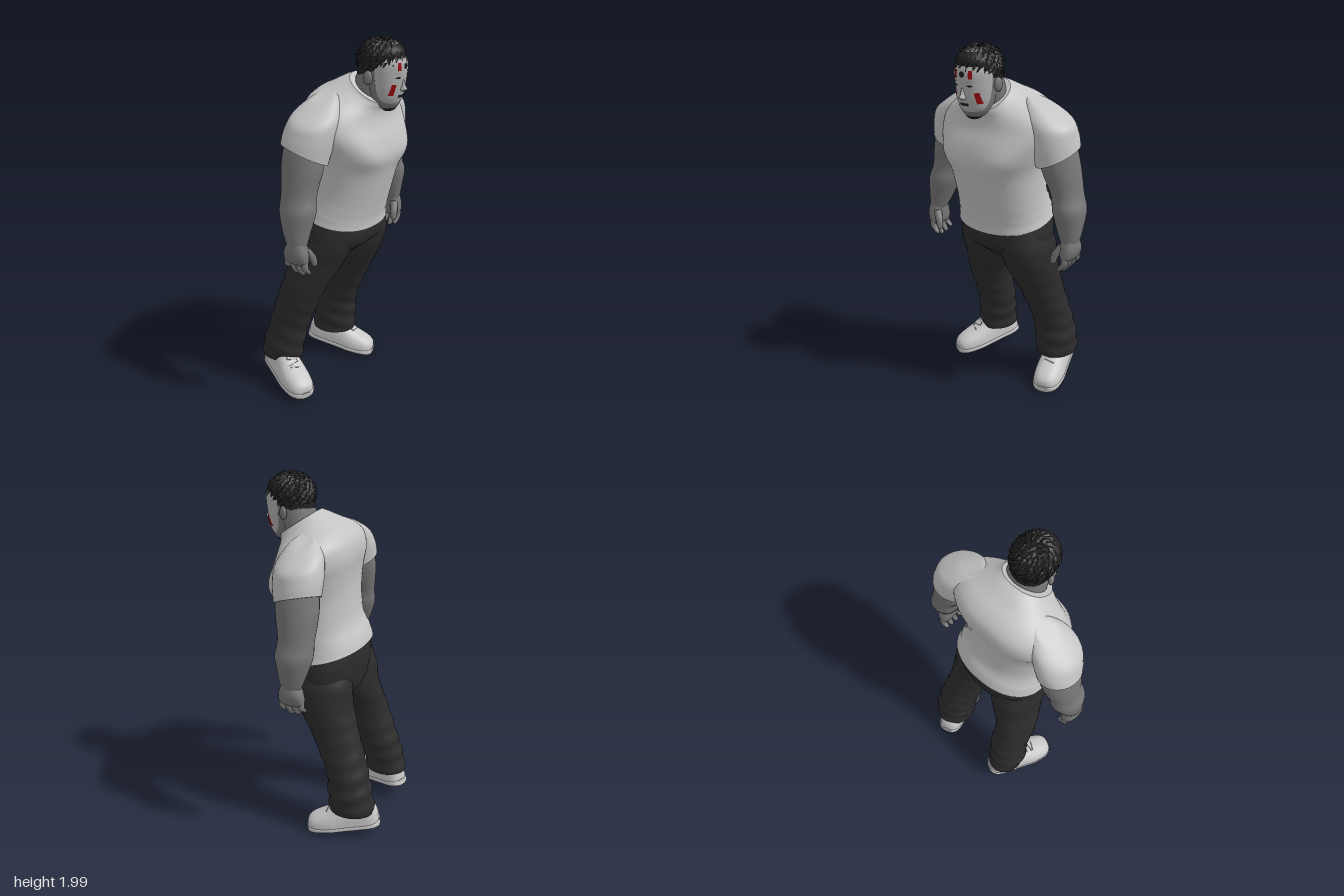
import * as THREE from 'three';
import { mergeGeometries } from 'three/addons/utils/BufferGeometryUtils.js';

const mat = (name, color) => Object.assign(new THREE.MeshStandardMaterial({ color }), { name });
const YAW = 0.2; // the body is turned slightly to its left

// Smooth surface through horizontal rings [y, x, z, halfWidth, front, back, tiltZ, tiltX]
function loft(secs, { yaw = 0, n = 32, steps = 5, power = 2, bump = () => 1 } = {}) {
  const s = secs.map(r => [...r, 0, 0].slice(0, 8));
  if (s[0][0] > s[s.length - 1][0]) s.reverse();
  const rings = [];
  for (let i = 0; i < s.length - 1; i++) {
    const p = [s[Math.max(i - 1, 0)], s[i], s[i + 1], s[Math.min(i + 2, s.length - 1)]];
    for (let k = 0; k < steps + (i === s.length - 2 ? 1 : 0); k++) {
      const t = k / steps;
      rings.push(p[1].map((b, c) => {
        const a = p[0][c], d = p[2][c], e = p[3][c];
        return b + 0.5 * t * (d - a + t * (2 * a - 5 * b + 4 * d - e + t * (3 * (b - d) + e - a)));
      }));
    }
  }
  const pos = [], idx = [], cy = Math.cos(yaw), sy = Math.sin(yaw);
  const ring = (r, scale) => {
    for (let j = 0; j < n; j++) {
      let a = j / n * Math.PI * 2;
      if (a > Math.PI) a -= Math.PI * 2;
      const sa = Math.sin(a), ca = Math.cos(a), f = bump(a, r[0]) * scale;
      const lx = Math.sign(sa) * Math.abs(sa) ** (2 / power) * r[3] * f;
      const lz = Math.sign(ca) * Math.abs(ca) ** (2 / power) * (ca > 0 ? r[4] : r[5]) * f;
      pos.push(r[1] + lx * cy + lz * sy, r[0] - r[6] * lz + r[7] * lx, r[2] - lx * sy + lz * cy);
    }
  };
  const strip = base => {
    for (let j = 0; j < n; j++) {
      const a = base + j, b = base + (j + 1) % n;
      idx.push(a, b, b + n, a, b + n, a + n);
    }
  };
  ring(rings[0], 0); ring(rings[0], 1); strip(0);
  rings.forEach((r, i) => { ring(r, 1); if (i) strip((i + 1) * n); });
  const top = rings.length + 2;
  ring(rings[rings.length - 1], 1); ring(rings[rings.length - 1], 0); strip(top * n);
  const g = new THREE.BufferGeometry();
  g.setAttribute('position', new THREE.Float32BufferAttribute(pos, 3));
  g.setIndex(idx);
  g.computeVertexNormals();
  return g;
}

export function createModel() {
  const shirt = mat('shirt grey', 0xc4c4c4), skin = mat('skin grey', 0x777777), cloth = mat('trouser black', 0x2c2c2c);
  const hairMat = mat('hair black', 0x222222), maskMat = mat('mask grey', 0xb0b0b0), red = mat('mark red', 0x960a0a);
  const shoeMat = mat('shoe grey', 0xc8c8c8), lace = mat('lace grey', 0x9c9c9c), dark = mat('hole black', 0x1a1a1a);
  const model = new THREE.Group();
  const add = (name, geo, m, parent = model) => {
    const mesh = new THREE.Mesh(geo, m);
    mesh.name = name;
    parent.add(mesh);
    return mesh;
  };
  const group = (name, parent = model) => {
    const g = new THREE.Group();
    g.name = name;
    parent.add(g);
    return g;
  };
  const bell = (v, w) => Math.exp(-((v / w) ** 2));

  // T-shirt body with chest muscles, a spine groove and a collar that rises at the back
  add('shirtBody', loft([
    [1.045, 0, 0.02, 0.278, 0.21, 0.207, 0.27], [1.1, 0, 0.03, 0.266, 0.205, 0.2, 0.27],
    [1.2, 0.01, 0.06, 0.255, 0.2, 0.19, 0.25], [1.35, 0.015, 0.085, 0.265, 0.215, 0.205, 0.25],
    [1.45, 0.02, 0.095, 0.295, 0.23, 0.22, 0.25], [1.54, 0.02, 0.09, 0.325, 0.22, 0.225, 0.26],
    [1.615, 0.025, 0.09, 0.32, 0.19, 0.21, 0.3], [1.665, 0.03, 0.105, 0.275, 0.165, 0.175, 0.38],
    [1.7, 0.035, 0.132, 0.205, 0.14, 0.137, 0.47], [1.725, 0.04, 0.165, 0.15, 0.118, 0.113, 0.6], [1.735, 0.045, 0.188, 0.13, 0.1, 0.1, 0.7],
  ], { yaw: YAW, n: 56, power: 2.2, bump: (a, y) => 1
    + 0.07 * bell(y - 1.47, 0.08) * bell(Math.abs(a) - 0.5, 0.32)
    - 0.05 * bell(Math.PI - Math.abs(a), 0.18) * bell(y - 1.4, 0.2)
    + 0.006 * bell(y - 1.13, 0.05) * Math.sin(y * 130 + a * 2) }), shirt);

  // Trousers: a seat that melts into two legs
  add('trouserSeat', loft([
    [1.065, 0, 0.02, 0.262, 0.195, 0.187, 0.27], [0.98, 0, 0.015, 0.277, 0.195, 0.19, 0.25], [0.91, -0.005, 0.005, 0.27, 0.172, 0.172, 0.18],
    [0.85, -0.01, -0.005, 0.2, 0.135, 0.145, 0.05], [0.8, -0.015, -0.01, 0.12, 0.085, 0.1, 0], [0.775, -0.015, -0.015, 0.06, 0.04, 0.05, 0],
  ], { yaw: YAW, n: 48, power: 2.2 }), cloth);
  const folds = (a, y) => 1 + 0.035 * Math.sin(y * 62 + 2 * Math.sin(a + 1) + a) * (0.12 + 0.88 * bell(y - 0.25, 0.3));
  const legs = {
    left: [[1.01, 0.135, 0.01, 0.125, 0.15, 0.155], [0.9, 0.145, -0.015, 0.14, 0.175, 0.17], [0.78, 0.145, -0.04, 0.143, 0.16, 0.155],
      [0.6, 0.152, -0.11, 0.117, 0.13, 0.14], [0.4, 0.158, -0.195, 0.113, 0.12, 0.12], [0.26, 0.163, -0.225, 0.118, 0.128, 0.125],
      [0.165, 0.16, -0.235, 0.112, 0.132, 0.13]],
    right: [[1.01, -0.14, 0.035, 0.125, 0.16, 0.155], [0.9, -0.153, 0.02, 0.138, 0.175, 0.17], [0.78, -0.168, -0.008, 0.14, 0.155, 0.15],
      [0.6, -0.238, -0.055, 0.114, 0.125, 0.13], [0.4, -0.267, -0.125, 0.107, 0.115, 0.12], [0.26, -0.293, -0.155, 0.107, 0.12, 0.12],
      [0.175, -0.297, -0.17, 0.098, 0.12, 0.12]],
  };
  for (const side in legs) add(side + 'TrouserLeg', loft(legs[side], { yaw: YAW, n: 40, steps: 10, bump: folds }), cloth);

  // Shoes, lofted from heel to toe and laid down flat
  const shoe = (name, x, y, z, yaw) => {
    const g = group(name);
    g.position.set(x, y, z);
    g.rotation.set(0.17, yaw, 0, 'YXZ');
    const upper = [[0, 0.022, 0.06], [0.012, 0.048, 0.1], [0.05, 0.068, 0.145], [0.12, 0.074, 0.16], [0.2, 0.079, 0.135],
      [0.28, 0.085, 0.098], [0.36, 0.075, 0.073], [0.4, 0.052, 0.05], [0.412, 0.025, 0.025]];
    add('shoeUpper', loft(upper.map(([s, w, h]) => [s, 0, -0.025, w, 0.02, h]), { power: 2.4 }).rotateX(Math.PI / 2), shoeMat, g);
    add('shoeSole', loft(upper.map(([s, w]) => [s * 1.02 - 0.004, 0, -0.018, w + 0.004, 0.018, 0.018]), { power: 4 }).rotateX(Math.PI / 2), shoeMat, g);
    for (let i = 0; i < 5; i++) {
      const bar = add('lace', new THREE.BoxGeometry(0.06, 0.005, 0.007), lace, g);
      bar.position.set(0, 0.164 - i * 0.0105, 0.19 + i * 0.023);
      bar.rotation.set(0.45, i % 2 ? 0.25 : -0.25, 0);
    }
  };
  shoe('leftShoe', 0.085, 0.075, -0.375, 0.5);
  shoe('rightShoe', -0.283, 0.095, -0.295, -0.2);

  // Sleeves with sloping shoulders, arms and hands
  const radii = [[0.098, 0.112], [0.1, 0.112], [0.094, 0.106], [0.08, 0.097], [0.083, 0.1], [0.065, 0.075], [0.043, 0.053]];
  const levels = [1.54, 1.45, 1.34, 1.24, 1.16, 1.06, 0.985];
  const arms = {
    left: { s: 1, shoulder: [[0.25, 0.02], [0.27, 0.015], [0.305, 0], [0.333, -0.015], [0.355, -0.025]],
      arm: [[0.33, -0.02], [0.355, -0.025], [0.378, -0.04], [0.405, -0.05], [0.422, -0.05], [0.434, -0.045], [0.442, -0.04]] },
    right: { s: -1, shoulder: [[-0.205, 0.115], [-0.225, 0.118], [-0.27, 0.12], [-0.312, 0.113], [-0.342, 0.107]],
      arm: [[-0.315, 0.11], [-0.342, 0.107], [-0.367, 0.11], [-0.393, 0.12], [-0.41, 0.13], [-0.433, 0.145], [-0.445, 0.16]] },
  };
  const sleeve = [[1.71, 0.035, 0.035, 0, -0.4], [1.695, 0.082, 0.07, 0.1, -0.4], [1.63, 0.13, 0.12, 0.15, -0.25],
    [1.535, 0.121, 0.132, 0.2, 0], [1.44, 0.108, 0.124, 0.3, 0.35]];
  for (const side in arms) {
    const { s, shoulder, arm } = arms[side];
    add(side + 'Sleeve', loft(sleeve.map(([y, rx, rz, tz, tx], i) => [y, ...shoulder[i], rx, rz, rz, tz, s * tx]), { yaw: YAW, n: 40 }), shirt);
    add(side + 'Arm', loft(levels.map((y, i) => [y, ...arm[i], radii[i][0], radii[i][1], radii[i][1]]), { yaw: YAW,
      bump: (a, y) => 1 + 0.07 * bell(y - 1.36, 0.05) * bell(a, 0.8) + 0.06 * bell(y - 1.17, 0.05) * bell(a - s * 1.2, 0.9)
        + 0.05 * bell(y - 1.4, 0.05) * bell(Math.PI - Math.abs(a), 0.7) }), skin);
    const hand = group(side + 'Hand');
    hand.position.set(arm[6][0], 0, arm[6][1]);
    hand.rotation.y = YAW;
    add('palm', loft([[1.01, 0, 0, 0.042, 0.051, 0.051], [0.96, s * 0.004, -0.005, 0.045, 0.07, 0.065],
      [0.915, 0, -0.005, 0.036, 0.073, 0.07], [0.89, -s * 0.005, -0.005, 0.02, 0.06, 0.06]], { n: 20, power: 2.5 }), skin, hand);
    for (let i = 0; i < 4; i++) {
      const z = 0.048 - i * 0.035, tip = [0.835, 0.822, 0.826, 0.845][i];
      add('finger', loft([[0.93, 0, z, 0.018, 0.018, 0.018], [0.88, s * 0.002, z * 1.05, 0.02, 0.017, 0.017],
        [tip + 0.012, -s * 0.024, z * 1.05, 0.016, 0.014, 0.014], [tip, -s * 0.03, z * 1.05, 0.006, 0.006, 0.006]], { n: 10, steps: 3 }), skin, hand);
    }
    add('thumb', loft([[0.98, -s * 0.02, 0.035, 0.022, 0.022, 0.022], [0.93, -s * 0.05, 0.055, 0.022, 0.02, 0.02],
      [0.885, -s * 0.062, 0.062, 0.016, 0.016, 0.016], [0.872, -s * 0.062, 0.062, 0.005, 0.005, 0.005]], { n: 10, steps: 3 }), skin, hand);
  }

  // Neck
  add('neck', loft([[1.64, 0.045, 0.17, 0.1, 0.095, 0.09], [1.74, 0.05, 0.19, 0.108, 0.09, 0.097], [1.83, 0.06, 0.215, 0.095, 0.09, 0.1]], { yaw: YAW }), skin);

  // Head, built around its own upright axis
  const head = group('head');
  head.position.set(0.06, 0, 0.24);
  head.rotation.y = YAW;
  const skull = [[1.635, 0, 0.04, 0.03, 0.03, 0.03], [1.66, 0, 0.02, 0.07, 0.075, 0.1], [1.72, 0, 0.01, 0.092, 0.1, 0.115],
    [1.8, 0, 0, 0.103, 0.122, 0.12], [1.87, 0, 0, 0.106, 0.126, 0.12], [1.94, 0, 0, 0.09, 0.105, 0.105], [1.975, 0, 0, 0.05, 0.06, 0.06]];
  add('skull', loft(skull), skin, head);
  const mask = add('faceMask', loft([[1.655, 0, 0.045, 0.04, 0.04, 0.01], [1.68, 0, 0.04, 0.073, 0.065, 0.01], [1.73, 0, 0.03, 0.092, 0.09, 0.01],
    [1.8, 0, 0.025, 0.102, 0.105, 0.01], [1.86, 0, 0.025, 0.105, 0.109, 0.01], [1.895, 0, 0.025, 0.098, 0.1, 0.01]], { n: 48 }), maskMat, head);
  add('nose', loft([[1.73, 0, 0.11, 0.008, 0.012, 0.01], [1.742, 0, 0.115, 0.017, 0.035, 0.01], [1.76, 0, 0.118, 0.011, 0.024, 0.01],
    [1.79, 0, 0.122, 0.007, 0.01, 0.01]], { n: 12 }), maskMat, head);
  const goatee = add('goatee', new THREE.SphereGeometry(1, 16, 10), hairMat, head);
  goatee.scale.set(0.045, 0.026, 0.038);
  goatee.position.set(0, 1.648, 0.045);
  for (const s of [-1, 1]) {
    const ear = add('ear', new THREE.SphereGeometry(1, 14, 10), skin, head);
    ear.scale.set(0.014, 0.036, 0.024);
    ear.position.set(s * 0.111, 1.8, -0.01);
    ear.rotation.y = s * -0.4;
  }

  // Painted marks and openings, draped over the mask surface
  const probe = new THREE.Mesh(mask.geometry, mask.material), ray = new THREE.Raycaster();
  const drape = (name, geo, m, x, y, tilt = 0) => {
    geo.rotateZ(tilt).translate(x, y, 0);
    const p = geo.attributes.position;
    for (let i = 0; i < p.count; i++) {
      ray.set(new THREE.Vector3(p.getX(i), p.getY(i), 1), new THREE.Vector3(0, 0, -1));
      const hit = ray.intersectObject(probe)[0];
      p.setZ(i, (hit ? hit.point.z : 0.05) + 0.003);
    }
    geo.computeVertexNormals();
    add(name, geo, m, head);
  };
  const disc = (w, h) => new THREE.CircleGeometry(1, 16).scale(w, h, 1);
  const bar = (w, h) => new THREE.PlaneGeometry(w, h, 3, 5);
  for (const s of [-1, 1]) {
    drape('foreheadMark', bar(0.018, 0.04), red, s * 0.043 + 0.004, 1.857);
    drape('cheekMark', bar(0.02, 0.056), red, s * 0.065 + 0.005, 1.742, s * 0.1);
    drape('eye', disc(0.014, 0.005), dark, s * 0.042, 1.803);
    drape('brow', bar(0.034, 0.006), lace, s * 0.042, 1.824, s * 0.15);
  }
  drape('foreheadHole', disc(0.015, 0.015), dark, 0.004, 1.857);
  drape('mouth', bar(0.052, 0.014), dark, 0, 1.708);

  // Hair: a cap covered with pointed locks swirling from the crown
  add('hairCap', loft([[1.83, 0, -0.005, 0.107, 0.125, 0.125, -0.35], [1.9, 0, -0.003, 0.108, 0.123, 0.122, -0.2],
    [1.95, 0, -0.003, 0.084, 0.096, 0.097, -0.05], [1.978, 0, -0.003, 0.035, 0.04, 0.04]]), hairMat, head);
  const locks = [], leaf = new THREE.OctahedronGeometry(1);
  for (let i = 0; i < 280; i++) {
    const u = 1 - 2 * (i + 0.5) / 280, a = i * 2.39996, r = Math.sqrt(1 - u * u);
    const n = new THREE.Vector3(r * Math.cos(a), u, r * Math.sin(a));
    const at = new THREE.Vector3(n.x * 0.108, 1.88 + n.y * 0.105, n.z * 0.123 - 0.004);
    if (at.y < 1.842 + 0.35 * at.z) continue;
    const swirl = 0.5 + 0.5 * Math.sin(i * 1.7);
    const along = new THREE.Vector3(n.x - swirl * n.z, -1, n.z + swirl * n.x);
    along.addScaledVector(n, -along.dot(n)).normalize().addScaledVector(n, 0.35 + 0.15 * Math.sin(i * 2.3)).normalize();
    const across = new THREE.Vector3().crossVectors(n, along).normalize();
    const up = new THREE.Vector3().crossVectors(along, across);
    const m = new THREE.Matrix4().makeBasis(across, up, along).setPosition(at);
    locks.push(leaf.clone().scale(0.016, 0.009, 0.03).applyMatrix4(m));
  }
  add('hairLocks', mergeGeometries(locks), hairMat, head);
  return model;
}
